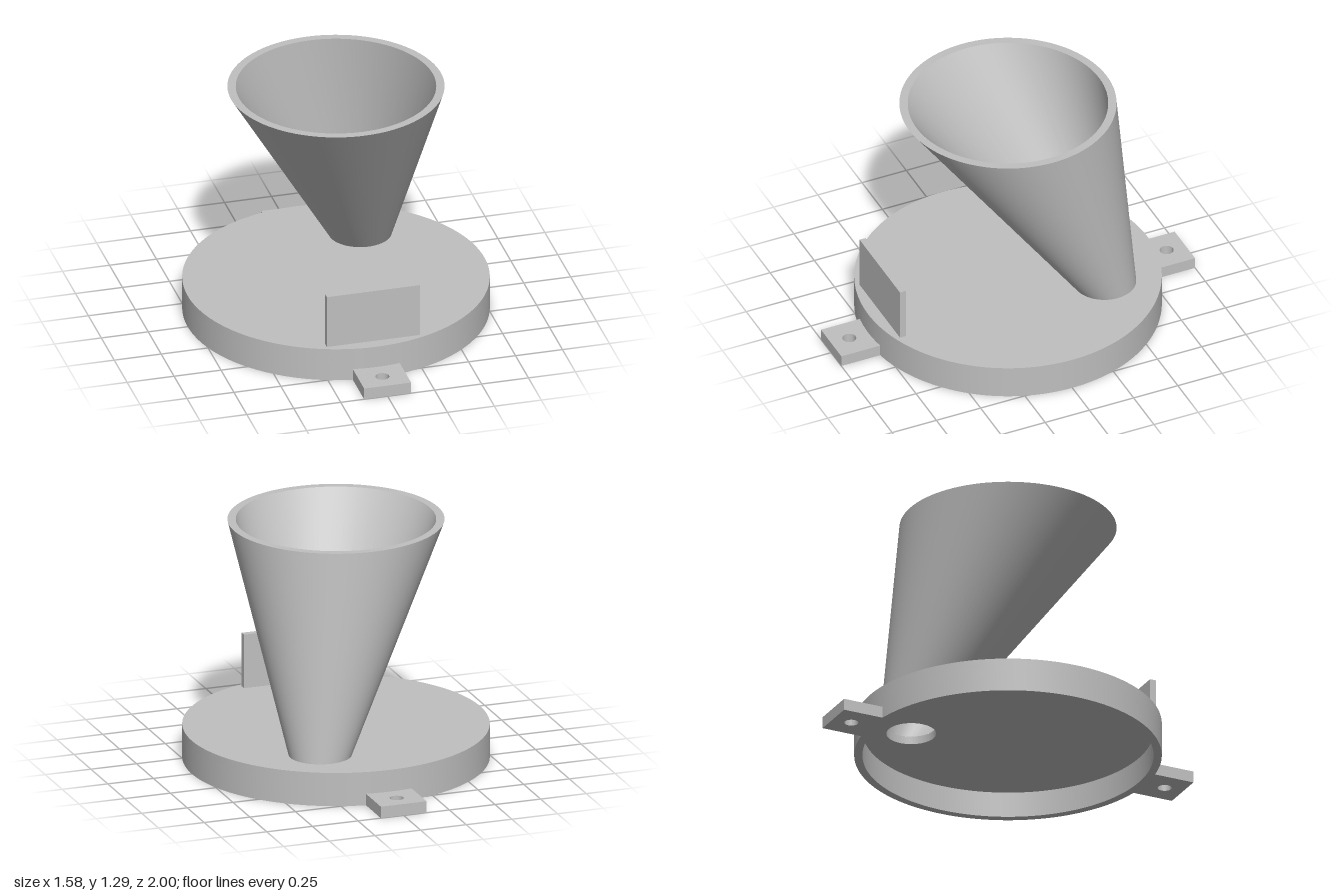
import * as THREE from 'three';
import { toCreasedNormals } from 'three/addons/utils/BufferGeometryUtils.js';

const SEGMENTS = 96;
const BASE_R = 0.79, BASE_INNER_R = 0.748, BASE_TOP = 0.18, CEILING = 0.137;
const SPOUT = { x: 0.247, z: -0.432, outer: 0.163, inner: 0.128 };
const MOUTH = { y: 1.29, outer: 0.558, inner: 0.515 };

function circle(x, y, r, Type = THREE.Path) {
  const path = new Type();
  path.absarc(x, y, r, 0, Math.PI * 2, false);
  return path;
}

// Extrudes a plan outline (shape y = -z) upwards from y0 to y1
function slab(shape, y0, y1) {
  const geo = new THREE.ExtrudeGeometry(shape, {
    depth: y1 - y0, bevelEnabled: false, curveSegments: SEGMENTS,
  });
  geo.rotateX(-Math.PI / 2).translate(0, y0, 0);
  return toCreasedNormals(geo, 0.6);
}

// Hollow cone sheared so its narrow end sits over the off-centre outlet
function funnelGeometry() {
  const profile = [
    [SPOUT.outer, BASE_TOP], [MOUTH.outer, MOUTH.y],
    [MOUTH.inner, MOUTH.y], [SPOUT.inner, BASE_TOP],
  ].map(([r, y]) => new THREE.Vector2(r, y));
  const geo = new THREE.LatheGeometry(profile, SEGMENTS);
  const pos = geo.attributes.position;
  for (let i = 0; i < pos.count; i++) {
    const t = (MOUTH.y - pos.getY(i)) / (MOUTH.y - BASE_TOP);
    pos.setX(i, pos.getX(i) + SPOUT.x * t);
    pos.setZ(i, pos.getZ(i) + SPOUT.z * t);
  }
  return toCreasedNormals(geo, 0.6);
}

// Mounting tab with a screw hole and an inner edge that follows the base
function tabGeometry() {
  const w = 0.125, r = BASE_R - 0.01, a = Math.asin(w / r);
  const shape = new THREE.Shape();
  shape.moveTo(w, 1);
  shape.lineTo(-w, 1);
  shape.absarc(0, 0, r, Math.PI / 2 + a, Math.PI / 2 - a, true);
  shape.closePath();
  shape.holes.push(circle(0, 0.897, 0.036));
  return slab(shape, 0, 0.062);
}

export function createModel() {
  const model = new THREE.Group();
  model.name = 'funnelLid';
  const grey = new THREE.MeshStandardMaterial({ color: 0xbfbfbf });
  grey.name = 'light grey';

  const add = (name, geo) => {
    const mesh = new THREE.Mesh(geo, grey);
    mesh.name = name;
    model.add(mesh);
    return mesh;
  };

  // Round lid, open underneath, with the outlet through its top
  const plate = circle(0, 0, BASE_R, THREE.Shape);
  plate.holes.push(circle(SPOUT.x, -SPOUT.z, SPOUT.inner));
  add('lidPlate', slab(plate, CEILING, BASE_TOP));

  const skirt = circle(0, 0, BASE_R, THREE.Shape);
  skirt.holes.push(circle(0, 0, BASE_INNER_R));
  add('lidSkirt', slab(skirt, 0, CEILING));

  add('funnel', funnelGeometry());

  // Upright plate near the front edge
  add('uprightPlate', new THREE.BoxGeometry(0.496, 0.29, 0.034))
    .position.set(0, BASE_TOP + 0.145, 0.708);

  // Mounting tabs at back and front
  const tab = tabGeometry();
  add('backTab', tab);
  add('frontTab', tab).rotation.y = Math.PI;

  return model;
}
